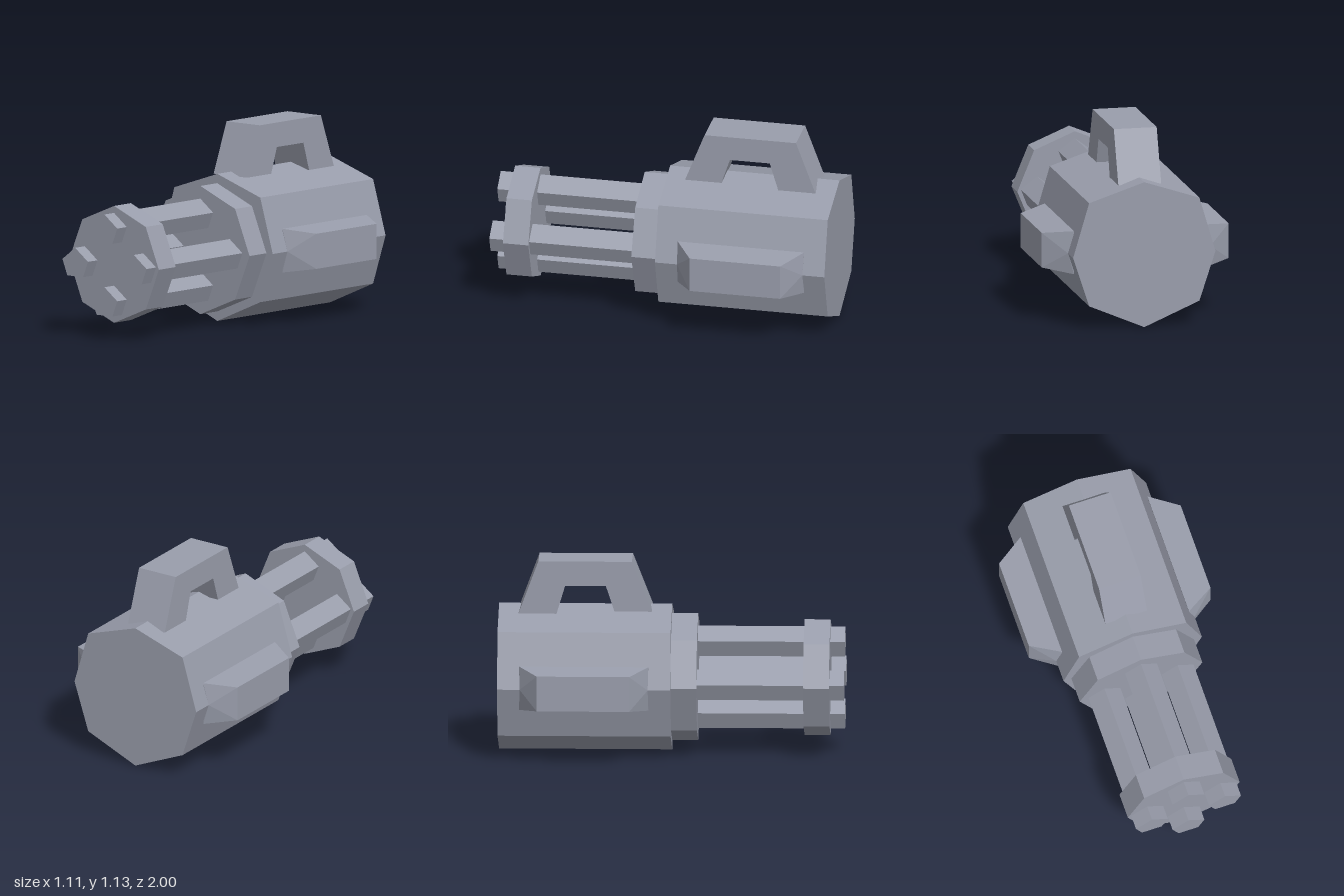
import * as THREE from 'three';
import { ConvexGeometry } from 'three/addons/geometries/ConvexGeometry.js';

const steel = new THREE.MeshStandardMaterial({ color: 0x999dab, flatShading: true });
steel.name = 'steel grey';

const MID = 0.43; // height of the main axis

// Straight prism from a polygon, running from z0 to z1
function prism(points, z0, z1) {
  const shape = new THREE.Shape(points.map(([x, y]) => new THREE.Vector2(x, y)));
  const geo = new THREE.ExtrudeGeometry(shape, { depth: z1 - z0, bevelEnabled: false });
  return geo.translate(0, 0, z0);
}

// Closes a right-hand outline (top to bottom) with its mirror image
function mirrored(half) {
  const left = half.filter(([x]) => x > 0).map(([x, y]) => [-x, y]).reverse();
  return [...half, ...left];
}

function octagon(r) {
  return Array.from({ length: 8 }, (_, i) => {
    const a = (i * Math.PI) / 4;
    return [r * Math.sin(a), MID + r * Math.cos(a)];
  });
}

export function createModel() {
  const group = new THREE.Group();
  group.name = 'rotaryCannon';
  const add = (name, geo) => {
    const mesh = new THREE.Mesh(geo, steel);
    mesh.name = name;
    group.add(mesh);
    return mesh;
  };

  // Main housing, collar and muzzle plate
  add('housing', prism(mirrored([[0, 0.858], [0.327, 0.75], [0.422, MID], [0.327, 0.14], [0, 0]]), -1, 0));
  add('collar', prism(octagon(0.374), -0.02, 0.15));
  add('muzzlePlate', prism(octagon(0.341), 0.765, 0.915));

  // Four five-sided barrels
  const barrel = prism(mirrored([[0, 0.1], [0.097, 0.027], [0.06, -0.066]]), 0.12, 1);
  [[0, 0.63], [0.223, 0.415], [0, 0.206], [-0.223, 0.415]].forEach(([x, y], i) => {
    add('barrel' + (i + 1), barrel).position.set(x, y, 0);
  });

  // Carrying handle: side outline extruded across the width
  const handle = prism([
    [-0.115, 0.835], [-0.23, 1.128], [-0.77, 1.128], [-0.885, 0.82],
    [-0.665, 0.82], [-0.615, 0.985], [-0.38, 0.985], [-0.33, 0.835],
  ], -0.127, 0.127);
  add('handle', handle.rotateY(-Math.PI / 2));

  // Tapered side pods
  for (const [name, s] of [['leftPod', 1], ['rightPod', -1]]) {
    const pts = [];
    for (const e of [-1, 1]) {
      for (const [x, y, half] of [
        [0.387, 0.56, 0.373], [0.422, MID, 0.37], [0.387, 0.305, 0.373],
        [0.554, 0.535, 0.267], [0.554, 0.33, 0.267],
      ]) pts.push(new THREE.Vector3(s * x, y, -0.5 + e * half));
    }
    add(name, new ConvexGeometry(pts));
  }
  return group;
}
